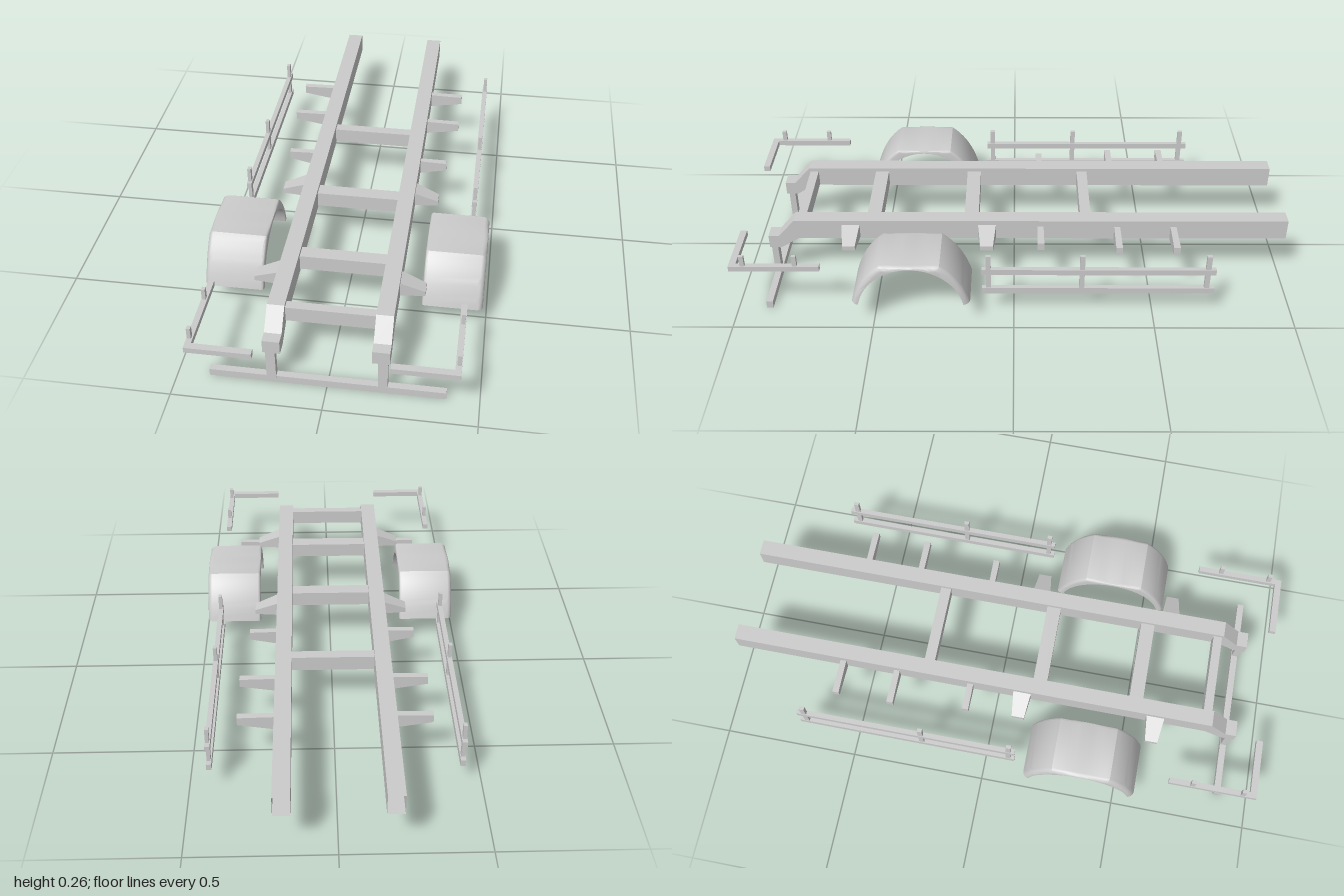
import * as THREE from 'three';
import { toCreasedNormals } from 'three/addons/utils/BufferGeometryUtils.js';

const material = new THREE.MeshStandardMaterial({ color: 0xcccccc, side: THREE.DoubleSide });

// Skins a row of rings running along +z; each ring is counter-clockwise seen from +z.
function loft(rings, s, capStart, capEnd, crease) {
  const R = rings.map(r => {
    const pts = r.map(([x, y, z]) => [x * s, y, z]);
    return s < 0 ? pts.reverse() : pts;
  });
  const pos = [], n = R[0].length;
  const tri = (a, b, c) => pos.push(...a, ...b, ...c);
  for (let k = 0; k < R.length - 1; k++) {
    for (let i = 0; i < n; i++) {
      const j = (i + 1) % n;
      tri(R[k][i], R[k][j], R[k + 1][j]);
      tri(R[k][i], R[k + 1][j], R[k + 1][i]);
    }
  }
  const last = R[R.length - 1];
  for (let i = 1; i < n - 1; i++) {
    if (capStart) tri(R[0][0], R[0][i + 1], R[0][i]);
    if (capEnd) tri(last[0], last[i], last[i + 1]);
  }
  const geo = new THREE.BufferGeometry();
  geo.setAttribute('position', new THREE.Float32BufferAttribute(pos, 3));
  geo.computeVertexNormals();
  return crease ? toCreasedNormals(geo, crease) : geo;
}

export function createModel() {
  const model = new THREE.Group();

  function add(name, geo, parent = model) {
    const mesh = new THREE.Mesh(geo, material);
    mesh.name = name;
    parent.add(mesh);
  }
  // Box given by its limits; s = -1 mirrors it across x
  function box(name, [x0, x1], [y0, y1], [z0, z1], s = 1, parent = model) {
    const geo = new THREE.BoxGeometry(x1 - x0, y1 - y0, z1 - z0);
    geo.translate(s * (x0 + x1) / 2, (y0 + y1) / 2, (z0 + z1) / 2);
    add(name, geo, parent);
  }

  // Chassis rail: hollow and open at the rear, stepping down at the front
  function chassisRail(s) {
    const stations = [
      [0.18, -1, 0.257, -1], [0.18, 0.79, 0.256, 0.805],
      [0.138, 0.86, 0.188, 0.866], [0.138, 0.905, 0.188, 0.905],
    ];
    const rings = stations.map(([yb, zb, yt, zt]) =>
      [[0.149, yb, zb], [0.207, yb, zb], [0.207, yt, zt], [0.149, yt, zt]]);
    add('chassisRail', loft(rings, s, false, true));
  }

  // Outrigger: tapered arm from rail to tip
  function outrigger(s, z, x1, rootHalf, tipHalf, root, tip) {
    const x0 = 0.205;
    const ring = d => [
      [x0, root[0], z + d * rootHalf], [x1, tip[0], z + d * tipHalf],
      [x1, tip[1], z + d * tipHalf], [x0, root[1], z + d * rootHalf],
    ];
    add('outrigger', loft([ring(-1), ring(1)], s, true, true));
  }

  // Mudguard: circular arch inside, flat-topped rounded shell outside
  function mudguard(s) {
    const cz = 0.363, cy = 0.057, inner = 0.189, x0 = 0.277, x1 = 0.486;
    const side = new THREE.QuadraticBezierCurve(
      new THREE.Vector2(-0.209, 0.097), new THREE.Vector2(-0.178, 0.205),
      new THREE.Vector2(-0.106, 0.257)).getPoints(12);
    const top = [];
    for (let i = 1; i < 12; i++) top.push(new THREE.Vector2(-0.106 + 0.212 * i / 12, 0.257));
    const front = side.map(p => new THREE.Vector2(-p.x, p.y)).reverse();
    const rings = [...side, ...top, ...front].map(p => {
      const len = Math.hypot(p.x, p.y - cy);
      const at = (x, r) => [x, cy + (p.y - cy) * r / len, cz + p.x * r / len];
      const drop = Math.min(0.022, (len - inner) * 0.9);
      const ring = [at(x0, inner), at(x1, inner)];
      for (let i = 0; i <= 5; i++) {
        const a = i / 5 * Math.PI / 2;
        ring.push(at(x1 - 0.024 * (1 - Math.cos(a)), len - drop * (1 - Math.sin(a))));
      }
      for (let i = 0; i <= 3; i++) {
        const a = i / 3 * Math.PI / 2;
        ring.push(at(x0 + 0.01 * (1 - Math.sin(a)), len - drop * 0.5 * (1 - Math.cos(a))));
      }
      return ring;
    });
    add('mudguard', loft(rings, s, true, true, 0.55));
  }

  // Side guard: two long bars on three posts
  function sideGuard(s) {
    const g = new THREE.Group();
    g.name = 'sideGuard';
    model.add(g);
    box('lowerBar', [0.417, 0.435], [0.104, 0.128], [-0.71, 0.113], s, g);
    box('upperBar', [0.417, 0.435], [0.186, 0.208], [-0.71, 0.113], s, g);
    for (const z of [-0.682, -0.24, 0.09]) {
      box('guardPost', [0.42, 0.433], [0.115, 0.264], [z - 0.009, z + 0.009], s, g);
    }
  }

  // Front corner frame: L-shaped bar with two short posts
  function cornerFrame(s) {
    const g = new THREE.Group();
    g.name = 'cornerFrame';
    model.add(g);
    box('cornerSideBar', [0.415, 0.435], [0.201, 0.221], [0.682, 1], s, g);
    box('cornerFrontBar', [0.218, 0.43], [0.201, 0.221], [0.976, 1], s, g);
    for (const z of [0.767, 0.95]) {
      box('cornerPost', [0.42, 0.433], [0.21, 0.262], [z - 0.008, z + 0.008], s, g);
    }
  }

  for (const s of [1, -1]) {
    chassisRail(s);
    mudguard(s);
    sideGuard(s);
    cornerFrame(s);
    for (const z of [0.099, 0.598]) {
      outrigger(s, z, 0.292, 0.033, 0.023, [0.187, 0.24], [0.186, 0.204]);
    }
    for (const [z, x] of [[-0.583, 0.333], [-0.377, 0.333], [-0.097, 0.306]]) {
      outrigger(s, z, x, 0.011, 0.012, [0.178, 0.232], [0.2, 0.23]);
    }
    // Drop post carrying the front bumper bar
    box('bumperPost', [0.168, 0.2], [0.02, 0.145], [0.877, 0.9], s);
  }

  // Cross members between the rails
  for (const z of [[-0.283, -0.244], [0.131, 0.183], [0.492, 0.543], [0.768, 0.8]]) {
    box('crossMember', [-0.152, 0.152], [0.187, 0.243], z);
  }

  box('bumperBar', [-0.393, 0.391], [0, 0.027], [0.875, 0.899]);
  return model;
}
